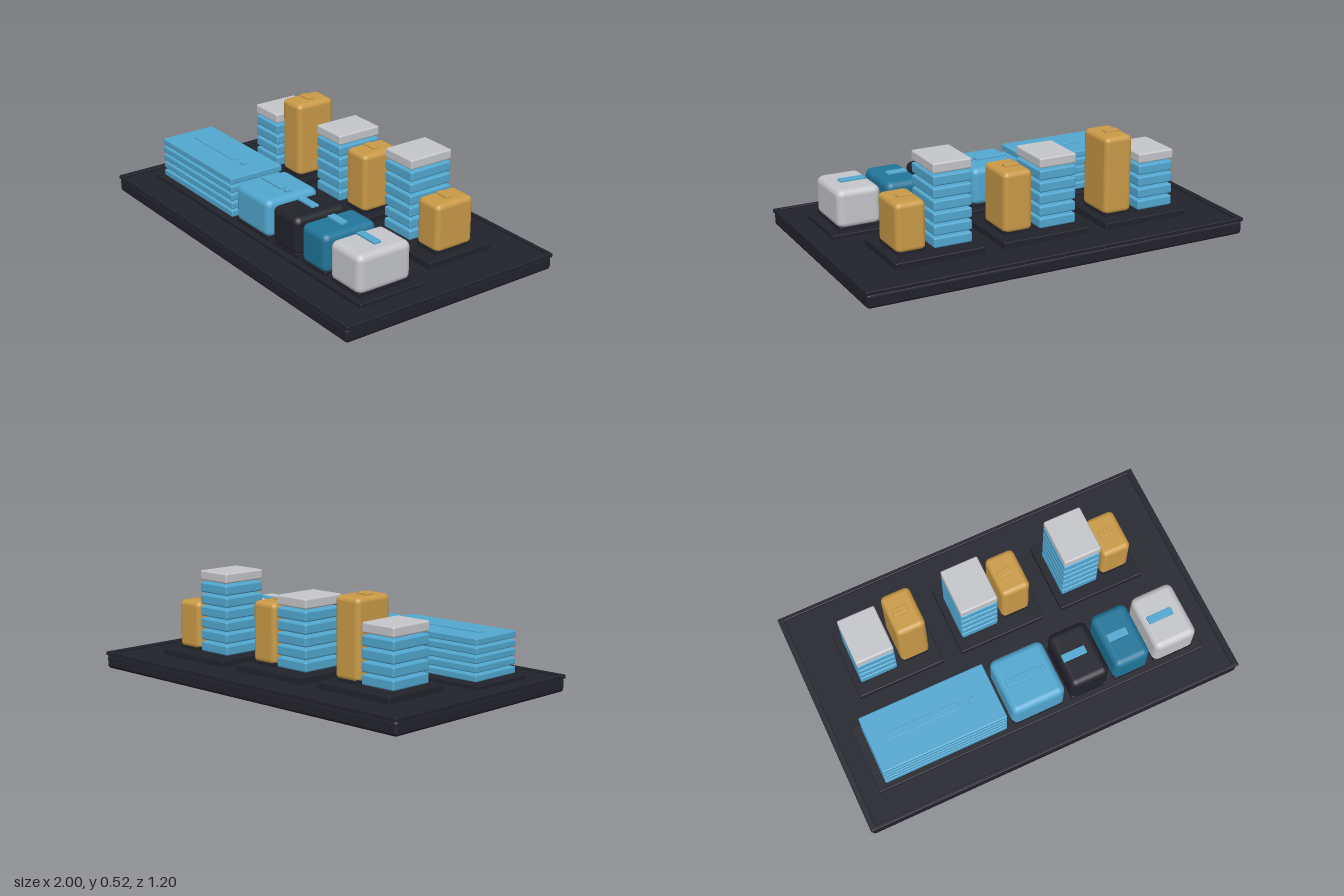
import * as THREE from 'three';
import { RoundedBoxGeometry } from 'three/addons/geometries/RoundedBoxGeometry.js';

const material = (name, color) => {
  const m = new THREE.MeshStandardMaterial({ color });
  m.name = name;
  return m;
};

export function createModel() {
  const dark = material('charcoal', 0x22222c);
  const blue = material('lightBlue', 0x52a7d0);
  const teal = material('deepTeal', 0x217599);
  const grey = material('paleGrey', 0xc5c6ca);
  const ochre = material('ochre', 0xc99a47);

  const model = new THREE.Group();
  model.name = 'packingTray';

  // Box given by its extents on each axis; a radius rounds its edges
  const block = (parent, name, mat, [x0, x1], [y0, y1], [z0, z1], radius = 0) => {
    const w = x1 - x0, h = y1 - y0, d = z1 - z0;
    const geometry = radius
      ? new RoundedBoxGeometry(w, h, d, 3, radius)
      : new THREE.BoxGeometry(w, h, d);
    const mesh = new THREE.Mesh(geometry, mat);
    mesh.name = name;
    mesh.position.set((x0 + x1) / 2, (y0 + y1) / 2, (z0 + z1) / 2);
    parent.add(mesh);
    return mesh;
  };

  const group = (name) => {
    const g = new THREE.Group();
    g.name = name;
    model.add(g);
    return g;
  };

  // Tray with a low rim on all four sides
  const tray = group('tray');
  block(tray, 'trayBase', dark, [-0.995, 0.995], [0, 0.073], [-0.6, 0.6], 0.018);
  for (const s of [-1, 1]) {
    const side = [s * 0.985 - 0.015, s * 0.985 + 0.015];
    const end = [s * 0.59 - 0.01, s * 0.59 + 0.01];
    block(tray, 'sideRim', dark, side, [0.066, 0.085], [-0.6, 0.6], 0.004);
    block(tray, 'endRim', dark, [-1, 1], [0.066, 0.085], end, 0.004);
  }

  // Rear sets: a pad, a tower of slabs and a tall case beside it
  const sets = [
    { x: -0.555, layers: 5, top: 0.505 },
    { x: -0.004, layers: 6, top: 0.415 },
    { x: 0.548, layers: 7, top: 0.355 },
  ];
  for (const { x, layers, top } of sets) {
    const set = group('rearSet');
    block(set, 'rearPad', dark, [x - 0.226, x + 0.226], [0.07, 0.105], [-0.407, -0.038], 0.004);
    for (let i = 0; i < layers; i++) {
      const y = 0.115 + i * 0.06;
      const last = i === layers - 1;
      block(set, last ? 'towerCap' : 'towerSlab', last ? grey : blue,
        [x - 0.192, x + 0.004], [y, y + 0.05], [-0.343, -0.1], 0.009);
    }
    const cx = [x + 0.035, x + 0.186];
    block(set, 'tallCaseFoot', dark, [cx[0] + 0.005, cx[1] - 0.005], [0.1, 0.128], [-0.325, -0.115], 0.004);
    block(set, 'tallCase', ochre, cx, [0.112, top], [-0.331, -0.113], 0.026);
    block(set, 'tallCaseHandle', ochre, [x + 0.06, x + 0.136], [top - 0.01, top + 0.009], [-0.243, -0.204], 0.004);
  }

  // Front row on one long pad
  const row = group('frontRow');
  block(row, 'frontPad', dark, [-0.885, 0.882], [0.07, 0.092], [0.083, 0.442], 0.004);

  // Stacked flat boards
  for (let i = 0; i < 5; i++) {
    const y = 0.097 + i * 0.043;
    block(row, 'flatBoard', blue, [-0.841, -0.19], [y, y + 0.033], [0.118, 0.415], 0.006);
  }
  block(row, 'boardHandle', blue, [-0.757, -0.377], [0.295, 0.308], [0.243, 0.283], 0.003);
  block(row, 'boardLatch', blue, [-0.327, -0.299], [0.295, 0.312], [0.25, 0.278], 0.003);

  // Rounded cases, each with a dark foot and a blue handle
  const cases = [
    { mat: blue, x: [-0.157, 0.125], handle: [-0.125, 0.04] },
    { mat: dark, x: [0.157, 0.362], handle: [0.175, 0.3] },
    { mat: teal, x: [0.393, 0.583], handle: [0.42, 0.525] },
    { mat: grey, x: [0.613, 0.837], handle: [0.64, 0.772] },
  ];
  for (const { mat, x, handle } of cases) {
    block(row, 'caseFoot', dark, [x[0] + 0.005, x[1] - 0.005], [0.088, 0.114], [0.122, 0.411], 0.004);
    block(row, 'roundedCase', mat, x, [0.098, 0.294], [0.118, 0.415], 0.034);
    block(row, 'caseHandle', blue, handle, [0.285, 0.304], [0.243, 0.283], 0.003);
  }
  block(row, 'caseLatch', blue, [0.055, 0.081], [0.285, 0.305], [0.25, 0.278], 0.003);

  return model;
}
